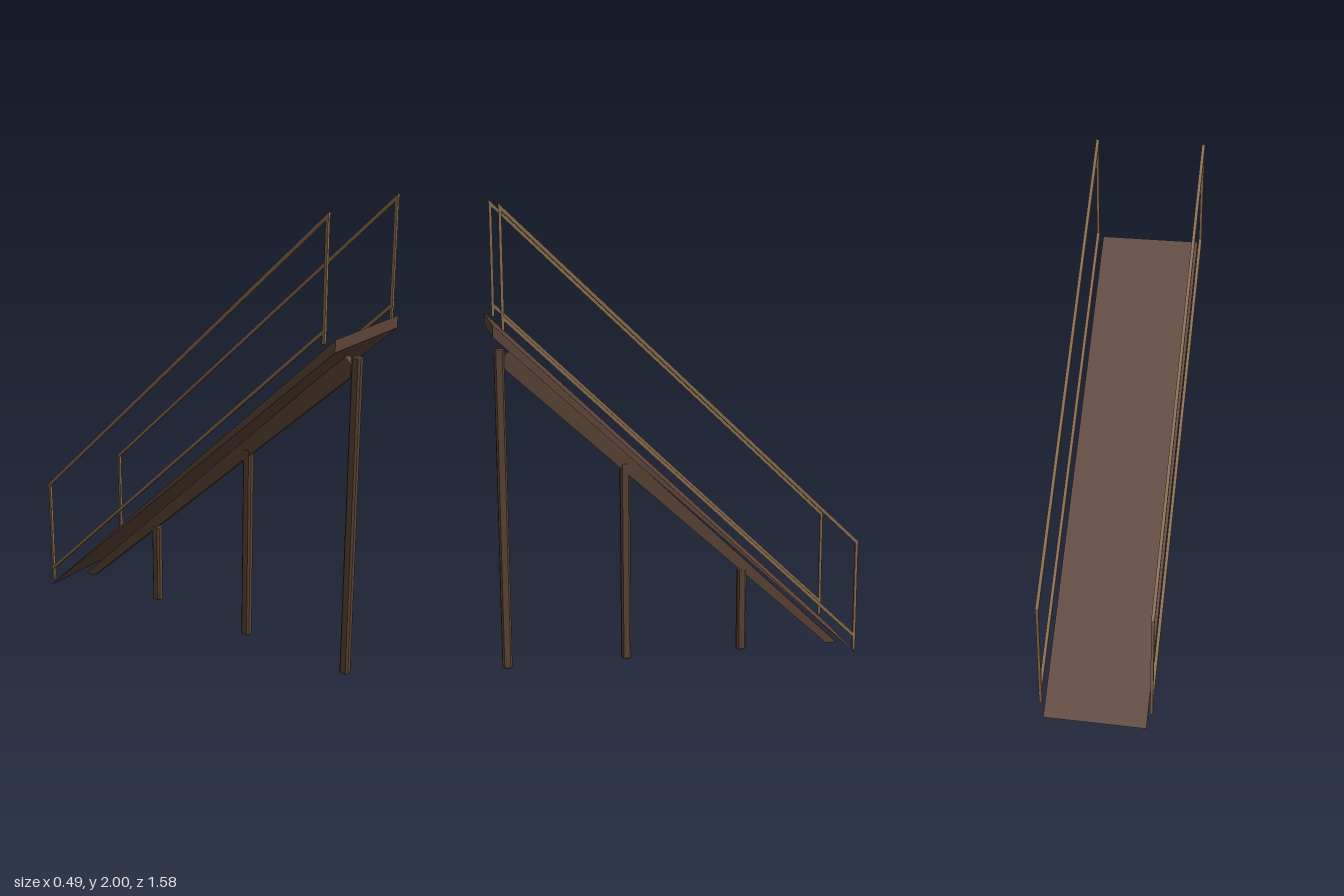
import * as THREE from 'three';

const mat = (name, color) => Object.assign(new THREE.MeshStandardMaterial({ color }), { name });

export function createModel() {
  const deckWood = mat('deck brown', 0x5d4438);
  const beamWood = mat('support brown', 0x5a4233);
  const railWood = mat('rail tan', 0x8a6b4c);
  const group = new THREE.Group();
  const add = (name, geometry, material) => {
    const mesh = new THREE.Mesh(geometry, material);
    mesh.name = name;
    group.add(mesh);
    return mesh;
  };

  // Side profile of [z, y] points, extruded across x and centred on x
  const sideProfile = (points, width, x = 0) => {
    const shape = new THREE.Shape(points.map(([z, y]) => new THREE.Vector2(z, y)));
    return new THREE.ExtrudeGeometry(shape, { depth: width, bevelEnabled: false })
      .translate(0, 0, -width / 2)
      .rotateY(-Math.PI / 2)
      .translate(x, 0, 0);
  };

  // Deck: a long wedge, thin at the foot
  add('deck', sideProfile([[-0.79, 0], [0.79, 1.475], [0.79, 1.525]], 0.44), deckWood);

  // Sloping beam under the middle of the deck
  add('beam', sideProfile([[-0.70, 0], [0.73, 1.315], [0.73, 1.37], [0.70, 1.395], [-0.75, 0]], 0.032), beamWood);

  // Chamfered support posts
  const hx = 0.017, hz = 0.021, c = 0.005;
  const section = new THREE.Shape([
    [-hx + 2 * c, -hz + c], [hx - 2 * c, -hz + c], [hx - c, -hz + 2 * c], [hx - c, hz - 2 * c],
    [hx - 2 * c, hz - c], [-hx + 2 * c, hz - c], [-hx + c, hz - 2 * c], [-hx + c, -hz + 2 * c],
  ].map(([x, y]) => new THREE.Vector2(x, y)));
  for (const [z, height] of [[0.75, 1.4], [0.225, 0.89], [-0.30, 0.38]]) {
    const geometry = new THREE.ExtrudeGeometry(section, {
      depth: height - 2 * c, bevelThickness: c, bevelSize: c, bevelSegments: 1,
    }).rotateX(-Math.PI / 2).translate(0, c, z);
    add('supportPost', geometry, beamWood);
  }

  // Railings, one on each side
  const t = 0.014, end = 0.757;
  for (const [side, s] of [['left', 1], ['right', -1]]) {
    const x = s * 0.236;
    for (const [name, high, low] of [['TopRail', 2, 0.545], ['LowerRail', 1.572, 0.117]]) {
      const points = [[-end, low - 0.02], [end, high - 0.02], [end, high], [-end, low]];
      add(side + name, sideProfile(points, t, x), railWood);
    }
    for (const [z, y0, y1] of [[0.75, 1.505, 1.985], [-0.75, 0.05, 0.54]]) {
      add(side + 'RailPost', new THREE.BoxGeometry(t - 0.002, y1 - y0, t - 0.002), railWood)
        .position.set(x, (y0 + y1) / 2, z);
    }
  }
  return group;
}
